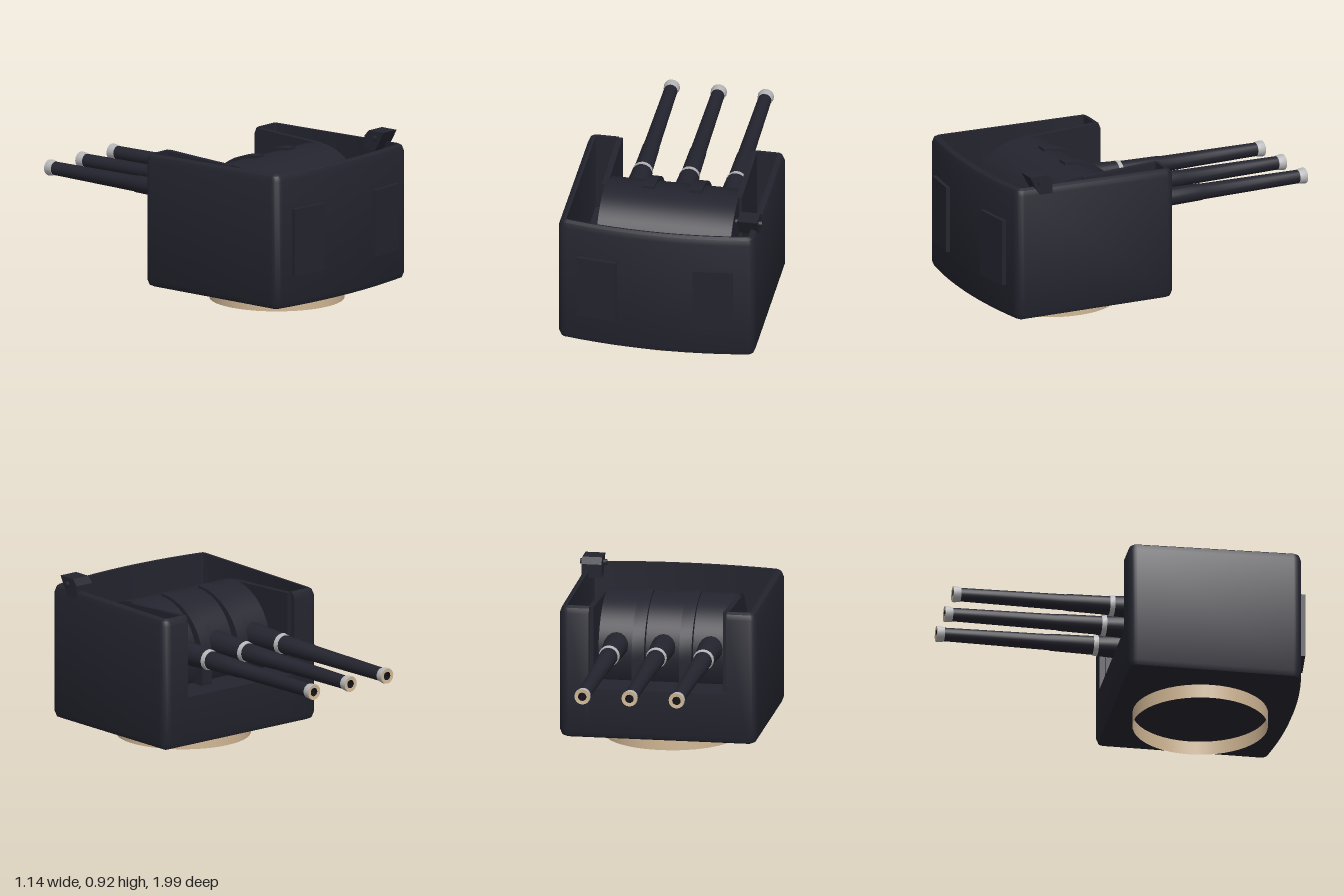
import * as THREE from 'three';
import { toCreasedNormals } from 'three/addons/utils/BufferGeometryUtils.js';

const mat = (name, color, side = THREE.FrontSide) => {
  const m = new THREE.MeshStandardMaterial({ color, side });
  m.name = name;
  return m;
};

const CX = -0.011;               // centre line of the turret
const W = 0.559, ZF = -0.05, ZR = 0.935, R = 0.05, BULGE = 0.045;
const SLOT = 0.39, FLOOR = 0.37; // gun opening half width and sill height

// Plan outline of the house, inset by d; "low" points belong to the gun slot
function outline(d) {
  const w = W - d, zf = ZF + d, zr = ZR - d, r = Math.max(R - d, 0.006);
  const pts = [[-SLOT, zf, true], [SLOT, zf, true], [SLOT, zf, false]];
  const corner = (cx, cz, a0) => {
    for (let i = 0; i <= 5; i++) {
      const a = a0 + (i / 5) * Math.PI / 2;
      pts.push([cx + r * Math.cos(a), cz + r * Math.sin(a), false]);
    }
  };
  corner(w - r, zf + r, -Math.PI / 2);
  corner(w - r, zr - r, 0);
  for (let i = 1; i < 12; i++) { // bowed rear wall
    const t = 1 - i / 6;
    pts.push([(w - r) * t, zr + BULGE * (1 - t * t), false]);
  }
  corner(-w + r, zr - r, Math.PI / 2);
  corner(-w + r, zf + r, Math.PI);
  pts.push([-SLOT, zf, false]);
  return pts;
}

// House: skin lofted up the outside, over the rim and down to the inner floor
function houseGeometry() {
  const layers = [[null, 0.08], [0.04, 0.08], [0.012, 0.092], [0, 0.122], [0, 0.815],
    [0.012, 0.845], [0.03, 0.856], [0.042, 0.854], [0.042, FLOOR], [null, FLOOR]];
  const rings = layers.map(([d, y]) => outline(d ?? 0).map(([x, z, low]) => {
    if (d === null) return [CX, y, 0.45];
    const tilted = y > 0.5 ? y - 0.016 * (0.95 - z) : y;
    return [x + CX, low ? Math.min(tilted, FLOOR) : tilted, z];
  }));
  const pos = [];
  const v = (p) => new THREE.Vector3(...p);
  const tri = (a, b, c) => {
    if (v(b).sub(v(a)).cross(v(c).sub(v(a))).length() > 1e-9) pos.push(...a, ...b, ...c);
  };
  for (let j = 0; j < rings.length - 1; j++) {
    const lo = rings[j], hi = rings[j + 1], n = lo.length;
    for (let i = 0; i < n; i++) {
      const k = (i + 1) % n;
      tri(lo[i], hi[i], hi[k]);
      tri(lo[i], hi[k], lo[k]);
    }
  }
  const g = new THREE.BufferGeometry();
  g.setAttribute('position', new THREE.Float32BufferAttribute(pos, 3));
  return toCreasedNormals(g, 0.6);
}

// Extrude a (z, y) profile along x, starting at x0
function slab(profile, x0, width) {
  const shape = new THREE.Shape(profile.map(([z, y]) => new THREE.Vector2(-z, y)));
  const g = new THREE.ExtrudeGeometry(shape, { depth: width, bevelEnabled: false });
  g.rotateY(Math.PI / 2).translate(x0, 0, 0);
  return toCreasedNormals(g, 0.5);
}

// Turned part pointing forward along the guns (-z)
function turned(points, sides = 16) {
  const g = new THREE.LatheGeometry(points.map(([r, l]) => new THREE.Vector2(r, l)), sides);
  return toCreasedNormals(g.rotateX(-Math.PI / 2).toNonIndexed(), 0.6);
}

export function createModel() {
  const dark = mat('darkSteel', 0x24242f);
  const tan = mat('tan', 0xd2b896);
  const ringTan = tan.clone();
  ringTan.side = THREE.DoubleSide;
  const grey = mat('lightGrey', 0xb8b8ba);
  const black = mat('boreBlack', 0x121217);

  const model = new THREE.Group();
  model.name = 'gunTurret';
  const add = (name, geometry, material, parent = model) => {
    const m = new THREE.Mesh(geometry, material);
    m.name = name;
    parent.add(m);
    return m;
  };

  // Mounting ring and house
  add('baseRing', new THREE.CylinderGeometry(0.379, 0.379, 0.08, 48, 1, true), ringTan)
    .position.set(CX, 0.04, 0.452);
  add('house', houseGeometry(), dark);

  // Rear doors, set through the bowed wall
  for (const s of [-1, 1]) {
    const door = add('rearDoor', new THREE.BoxGeometry(0.226, 0.38, 0.07), dark);
    door.position.set(CX + s * 0.328, 0.46, 0.947);
    door.rotation.y = s * 0.1;
  }

  // Cradle drum carrying the guns
  const drum = new THREE.CylinderGeometry(0.307, 0.307, 0.76, 64).rotateZ(Math.PI / 2);
  add('cradleDrum', drum, dark).position.set(CX, 0.51, 0.443);

  // Curved ribs between the guns
  const rib = [[0.443, FLOOR - 0.02]];
  for (let i = 0; i <= 14; i++) {
    const a = (i / 14) * Math.PI / 2;
    rib.push([0.443 - 0.36 * Math.sin(a), 0.51 + 0.322 * Math.cos(a)]);
  }
  rib.push([0.083, FLOOR - 0.02]);
  for (const s of [-1, 1]) add('cradleRib', slab(rib, CX + s * 0.134 - 0.035, 0.07), dark);

  // Cheek plates beside the opening
  const cheek = [[-0.02, FLOOR - 0.02], [0.443, FLOOR - 0.02], [0.443, 0.815], [0.2, 0.825], [-0.02, 0.835]];
  for (const s of [-1, 1]) add('cheekPlate', slab(cheek, CX + s * 0.382 - 0.016, 0.032), dark);

  // Three guns
  for (const k of [-1, 0, 1]) {
    const gun = new THREE.Group();
    gun.name = 'gun';
    gun.position.set(CX + k * 0.267, 0.575, 0);
    add('sleeve', turned([[0, -0.2], [0.072, -0.18], [0.068, -0.12], [0.057, 0.088], [0.04, 0.088]]), dark, gun);
    add('band', turned([[0.045, 0.085], [0.06, 0.085], [0.056, 0.112], [0.045, 0.112]]), grey, gun);
    add('barrel', turned([[0.053, 0.1], [0.048, 0.35], [0.045, 0.36], [0.041, 0.7], [0.038, 0.96]]), dark, gun);
    add('muzzle', turned([[0.034, 0.955], [0.041, 0.955], [0.046, 0.99], [0.044, 1]]), grey, gun);
    add('muzzleFace', turned([[0.044, 1], [0.024, 0.998]]), tan, gun);
    add('bore', turned([[0.024, 0.998], [0.024, 0.9], [0, 0.9]]), black, gun);
    model.add(gun);
  }

  // Sight hood on the rear corner with its cross rod
  const hood = [[0.852, 0.92], [0.745, 0.92], [0.712, 0.885], [0.712, 0.81], [0.79, 0.81], [0.82, 0.86]];
  add('sightHood', slab(hood, 0.435, 0.113), dark);
  add('sightRod', new THREE.CylinderGeometry(0.016, 0.016, 0.152, 8).rotateZ(Math.PI / 2), dark)
    .position.set(0.491, 0.882, 0.79);

  return model;
}
